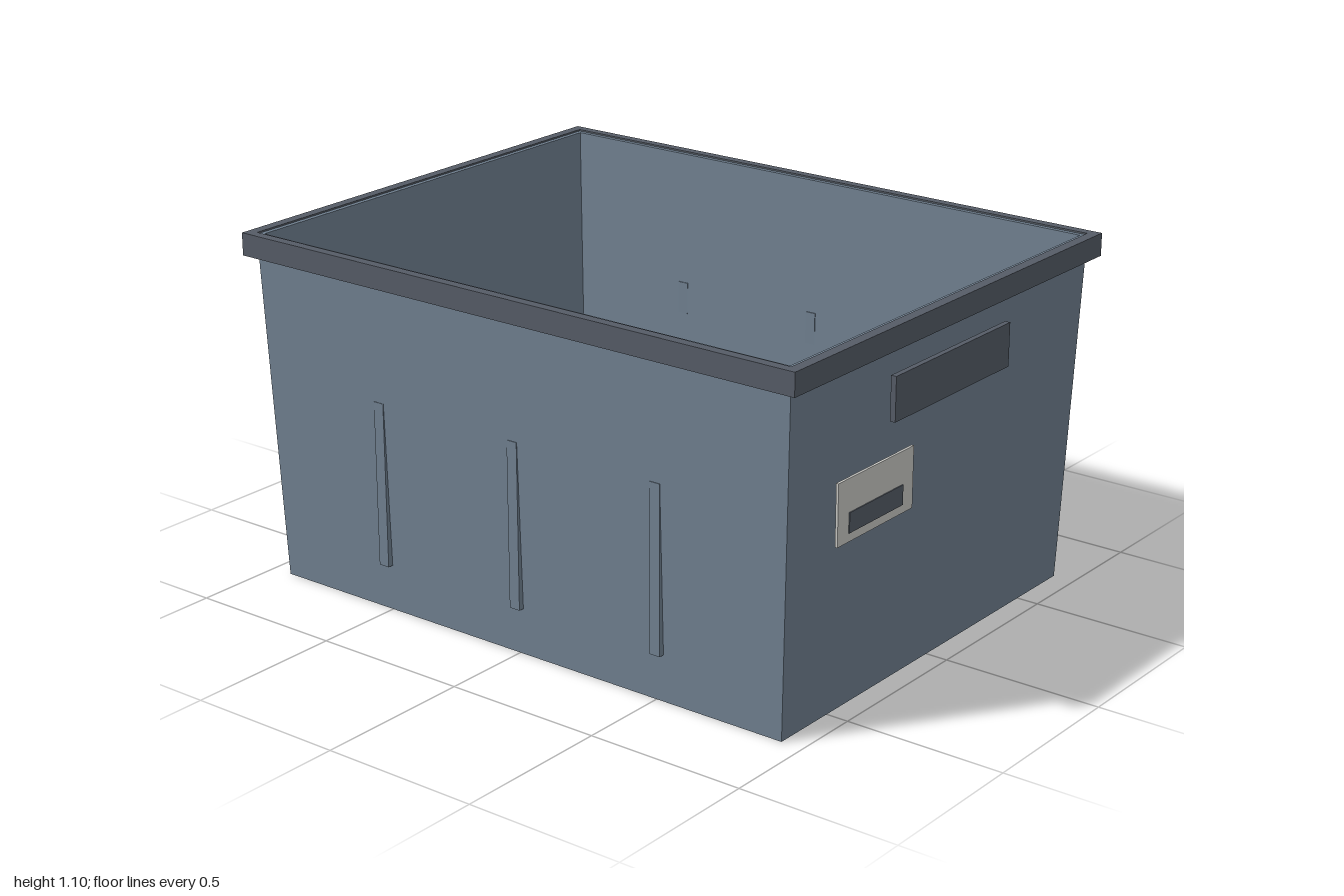
import * as THREE from 'three';

const slate = new THREE.MeshStandardMaterial({ name: 'slateBlue', color: 0x708090 });
const dark = new THREE.MeshStandardMaterial({ name: 'darkGrey', color: 0x555c66 });
const pale = new THREE.MeshStandardMaterial({ name: 'paleGrey', color: 0xc8c8c4 });

// Skins a run of rectangular rings [y, halfX, halfZ], then caps or closes the ends.
function rectShell(rings, capped) {
  const corners = rings.map(([y, x, z]) => [[x, y, z], [x, y, -z], [-x, y, -z], [-x, y, z]]);
  const pos = [];
  const quad = (a, b, c, d) => pos.push(...a, ...b, ...c, ...a, ...c, ...d);
  const spans = capped ? rings.length - 1 : rings.length;
  for (let i = 0; i < spans; i++) {
    const lo = corners[i], hi = corners[(i + 1) % rings.length];
    for (let j = 0; j < 4; j++) {
      const k = (j + 1) % 4;
      quad(lo[j], lo[k], hi[k], hi[j]);
    }
  }
  if (capped) {
    quad(...corners[0].slice().reverse());
    quad(...corners[rings.length - 1]);
  }
  const geo = new THREE.BufferGeometry();
  geo.setAttribute('position', new THREE.Float32BufferAttribute(pos, 3));
  geo.computeVertexNormals();
  return geo;
}

function addMesh(parent, name, geo, mat) {
  const mesh = new THREE.Mesh(geo, mat);
  mesh.name = name;
  parent.add(mesh);
  return mesh;
}

// Box given by its lower and upper corners.
function addBox(parent, name, mat, [x0, y0, z0], [x1, y1, z1]) {
  const mesh = addMesh(parent, name, new THREE.BoxGeometry(x1 - x0, y1 - y0, z1 - z0), mat);
  mesh.position.set((x0 + x1) / 2, (y0 + y1) / 2, (z0 + z1) / 2);
}

export function createModel() {
  const bin = new THREE.Group();
  bin.name = 'storageBin';

  // Tapered open tub: outside up, over the lip, inside down to the floor
  addMesh(bin, 'tub', rectShell([
    [0, 0.713, 0.93], [1.09, 0.746, 0.968],
    [1.09, 0.73, 0.952], [0.02, 0.7, 0.917],
  ], true), slate);

  // Overhanging rim band
  addMesh(bin, 'rim', rectShell([
    [1.025, 0.775, 1], [1.095, 0.775, 1],
    [1.095, 0.745, 0.967], [1.025, 0.742, 0.964],
  ], false), dark);

  // Handle and label holder on each end
  for (const side of [1, -1]) {
    const end = new THREE.Group();
    end.name = side > 0 ? 'frontFittings' : 'backFittings';
    const slab = (name, mat, x0, x1, y0, y1, zIn, zOut) => addBox(end, name, mat,
      [x0, y0, Math.min(side * zIn, side * zOut)], [x1, y1, Math.max(side * zIn, side * zOut)]);
    slab('handle', dark, -0.29, 0.29, 0.812, 0.945, 0.974, 0.991);
    slab('labelPlate', pale, -0.55, -0.188, 0.53, 0.715, 0.98, 0.988);
    slab('labelStripe', dark, -0.498, -0.24, 0.556, 0.616, 0.983, 0.991);
    bin.add(end);
  }

  // Upright ribs sunk into the sloping side walls
  for (const side of [1, -1]) {
    for (const z of [-0.51, 0, 0.51]) {
      const xs = [side * 0.715, side * 0.735].sort((a, b) => a - b);
      addBox(bin, side > 0 ? 'leftRib' : 'rightRib', slate,
        [xs[0], 0.145, z - 0.018], [xs[1], 0.66, z + 0.018]);
    }
  }
  return bin;
}
